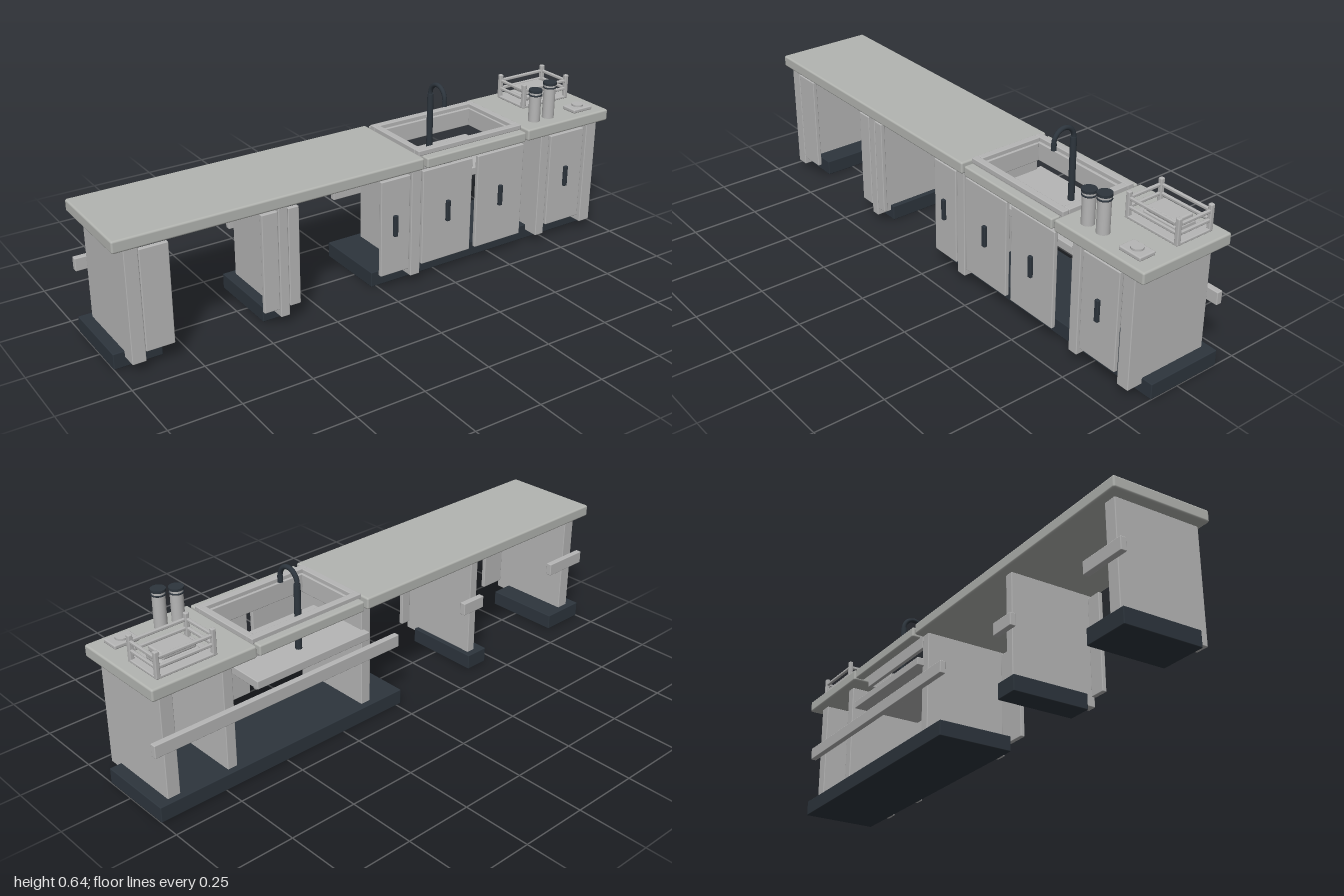
import * as THREE from 'three';
import { RoundedBoxGeometry } from 'three/addons/geometries/RoundedBoxGeometry.js';

const mat = (name, color) => {
  const m = new THREE.MeshStandardMaterial({ color });
  m.name = name;
  return m;
};

export function createModel() {
  const model = new THREE.Group();
  model.name = 'kitchenCounter';
  const grey = mat('paleGrey', 0xb6b6b6);
  const stone = mat('stoneGrey', 0xb3b5b1);
  const dark = mat('darkSlate', 0x2d353d);

  const add = (name, geo, material, x = 0, y = 0, z = 0) => {
    const mesh = new THREE.Mesh(geo, material);
    mesh.name = name;
    mesh.position.set(x, y, z);
    model.add(mesh);
    return mesh;
  };
  // softly bevelled box given by its limits on each axis
  const box = (name, material, x0, x1, y0, y1, z0, z1, bevel = 0.003) => {
    const w = x1 - x0, h = y1 - y0, d = z1 - z0;
    const r = Math.min(bevel, w * 0.3, h * 0.3, d * 0.3);
    return add(name, new RoundedBoxGeometry(w, h, d, 2, r), material,
      (x0 + x1) / 2, (y0 + y1) / 2, (z0 + z1) / 2);
  };
  const cyl = (name, material, r, y0, y1, x, z) =>
    add(name, new THREE.CylinderGeometry(r, r, y1 - y0, 28), material, x, (y0 + y1) / 2, z);
  // four bars around a rectangular opening
  const frame = (name, material, x0, x1, y0, y1, z0, z1, t) => {
    box(name, material, x0, x1, y0, y1, z0, z0 + t);
    box(name, material, x0, x1, y0, y1, z1 - t, z1);
    box(name, material, x0, x0 + t, y0, y1, z0 + t, z1 - t);
    box(name, material, x1 - t, x1, y0, y1, z0 + t, z1 - t);
  };

  // worktops on both sides of the sink
  box('longWorktop', stone, -1, 0.15, 0.44, 0.483, -0.184, 0.184, 0.007);
  box('shortWorktop', stone, 0.613, 1, 0.44, 0.483, -0.184, 0.184, 0.007);

  // plinths
  for (const [a, b] of [[-1, -0.83], [-0.46, -0.37], [-0.02, 1]])
    box('plinth', dark, a, b, 0, 0.057, -0.173, 0.113);

  // upright panels
  for (const [a, b] of [[-0.96, -0.912], [-0.422, -0.388], [0.107, 0.147], [0.687, 0.725], [0.909, 0.957]])
    box('uprightPanel', grey, a, b, 0.034, 0.442, -0.15, 0.172);

  // thin doors, the wide ones with handles
  for (const [a, b, handle] of [
    [-0.91, -0.81], [-0.484, -0.425], [-0.386, -0.345],
    [-0.02, 0.1, 0.037], [0.155, 0.37, 0.263], [0.395, 0.605, 0.5], [0.735, 0.895, 0.813],
  ]) {
    box('door', grey, a, b, 0.067, 0.428, 0.156, 0.172);
    if (handle) box('doorHandle', dark, handle - 0.008, handle + 0.008, 0.213, 0.293, 0.17, 0.183);
  }

  // back rails
  for (const [a, b] of [[-1, -0.82], [-0.44, -0.34], [-0.01, 1]])
    box('backRail', grey, a, b, 0.235, 0.282, -0.17, -0.148);

  // sink: surround strips, raised rim, walls and floor
  box('sinkFrontStrip', stone, 0.163, 0.602, 0.44, 0.478, 0.146, 0.184, 0.006);
  box('sinkBackStrip', stone, 0.163, 0.602, 0.44, 0.478, -0.184, -0.15, 0.006);
  frame('sinkRim', grey, 0.153, 0.61, 0.474, 0.493, -0.156, 0.145, 0.026);
  frame('sinkWall', grey, 0.173, 0.592, 0.41, 0.478, -0.135, 0.125, 0.014);
  box('sinkFloor', grey, 0.135, 0.612, 0.32, 0.35, -0.177, 0.1);
  cyl('sinkDrain', dark, 0.022, 0.348, 0.356, 0.38, 0);

  // arched tap
  cyl('tapBase', dark, 0.0115, 0.35, 0.585, 0.38, -0.1);
  const points = [new THREE.Vector3(0.38, 0.57, -0.1)];
  for (let i = 0; i <= 12; i++) {
    const a = Math.PI * (1 - i / 12);
    points.push(new THREE.Vector3(0.38, 0.585 + 0.044 * Math.sin(a), -0.058 + 0.043 * Math.cos(a)));
  }
  points.push(new THREE.Vector3(0.38, 0.575, -0.015));
  add('tapArch', new THREE.TubeGeometry(new THREE.CatmullRomCurve3(points), 48, 0.0085, 12), dark);
  cyl('tapSpout', dark, 0.0095, 0.562, 0.585, 0.38, -0.015);

  // storage canisters
  for (const [x, top] of [[0.693, 0.604], [0.76, 0.62]]) {
    cyl('canisterBody', grey, 0.022, 0.483, top - 0.008, x, 0.118);
    cyl('canisterLid', dark, 0.025, top - 0.009, top, x, 0.118);
    const ring = add('canisterRing', new THREE.TorusGeometry(0.022, 0.003, 8, 28), dark, x, top - 0.02, 0.118);
    ring.rotation.x = Math.PI / 2;
  }

  // soap dish with round soap
  box('soapDish', grey, 0.86, 0.95, 0.483, 0.498, 0.087, 0.151, 0.005);
  cyl('soap', grey, 0.021, 0.495, 0.505, 0.905, 0.118);

  // dish rack
  const [rx0, rx1, rz0, rz1] = [0.735, 0.957, -0.147, 0.006];
  const post = 0.016;
  box('rackBase', grey, rx0, rx1, 0.483, 0.493, rz0, rz1);
  for (const x of [rx0, rx1 - post])
    for (const z of [rz0, rz1 - post])
      box('rackPost', grey, x, x + post, 0.483, 0.576, z, z + post, 0.004);
  for (const y of [0.516, 0.547])
    frame('rackRail', grey, rx0 + 0.002, rx1 - 0.002, y, y + 0.011, rz0 + 0.002, rz1 - 0.002, 0.011);

  // stacked dishes in the rack
  box('lowerDish', grey, 0.775, 0.917, 0.493, 0.515, -0.115, -0.03, 0.006);
  box('upperDish', grey, 0.785, 0.907, 0.515, 0.536, -0.112, -0.031, 0.006);

  return model;
}
